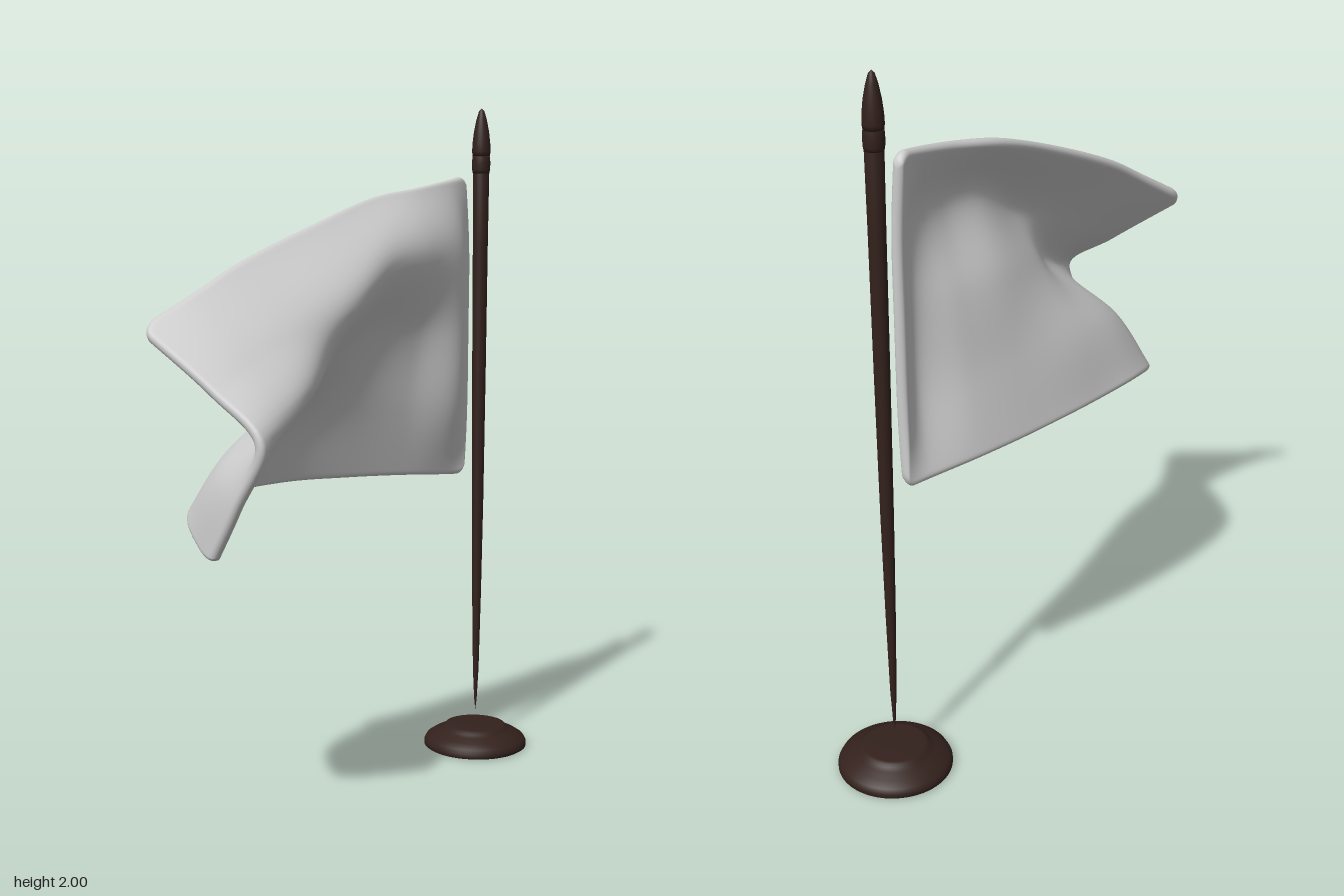
import * as THREE from 'three';
import { mergeVertices } from 'three/addons/utils/BufferGeometryUtils.js';

const POLE_X = 0.432, POLE_Z = -0.385;
const V = (x, y, z) => new THREE.Vector3(x, y, z);

// Cloth cross-sections from the pole to the free end, each from bottom to top
const SECTIONS = [
  [[.383, .88, -.385], [.383, 1.11, -.38], [.383, 1.34, -.38], [.383, 1.57, -.38], [.378, 1.80, -.392]],
  [[.31, .885, -.355], [.33, 1.11, -.285], [.335, 1.34, -.26], [.335, 1.59, -.25], [.30, 1.78, -.305]],
  [[.17, .895, -.295], [.18, 1.11, -.24], [.20, 1.34, -.20], [.225, 1.575, -.12], [.19, 1.755, -.205]],
  [[0, .905, -.21], [.02, 1.12, -.16], [.05, 1.34, -.10], [.095, 1.55, 0], [.06, 1.728, -.125]],
  [[-.22, .915, -.08], [-.18, 1.11, -.025], [-.095, 1.29, .09], [-.045, 1.44, .155], [-.12, 1.657, .015]],
  [[-.41, .905, .075], [-.33, 1.07, .145], [-.165, 1.225, .29], [-.20, 1.37, .26], [-.35, 1.55, .16]],
  [[-.485, .865, .205], [-.405, 1.005, .31], [-.25, 1.155, .42], [-.335, 1.30, .345], [-.47, 1.475, .228]],
  [[-.435, .765, .38], [-.375, .93, .48], [-.325, 1.105, .545], [-.435, 1.225, .43], [-.62, 1.385, .29]],
];
const rowCurves = SECTIONS[0].map((_, r) =>
  new THREE.CatmullRomCurve3(SECTIONS.map(s => V(...s[r]))));
const sectionAt = u => new THREE.CatmullRomCurve3(rowCurves.map(c => c.getPoint(u)));

// Closed cloth shell with rounded rim and rounded corners
function flagGeometry(nu = 76, nv = 56, half = 0.015, corner = 0.05) {
  const ease = t => 0.5 - 0.5 * Math.cos(Math.PI * t);
  const pos = [[], []], index = [];
  for (let i = 0; i <= nu; i++) {
    const u = ease(i / nu), e = 0.004;
    const u0 = Math.max(0, u - e), u1 = Math.min(1, u + e);
    const curve = sectionAt(u), before = sectionAt(u0), after = sectionAt(u1);
    const k = Math.max(0, corner - Math.min(u, 1 - u));
    const inset = corner - Math.sqrt(corner * corner - k * k);
    for (let j = 0; j <= nv; j++) {
      const w = ease(j / nv), v = inset + w * (1 - 2 * inset);
      const p = curve.getPoint(v);
      const du = after.getPoint(v).sub(before.getPoint(v));
      const dv = curve.getPoint(Math.min(1, v + e)).sub(curve.getPoint(Math.max(0, v - e)));
      const n = dv.cross(du).normalize();
      const d = Math.min(u * 1.2, (1 - u) * 1.2, w * 0.9, (1 - w) * 0.9, half);
      const h = Math.sqrt(Math.max(0, half * half - (half - d) ** 2));
      pos[0].push(...p.clone().addScaledVector(n, h).toArray());
      pos[1].push(...p.clone().addScaledVector(n, -h).toArray());
    }
  }
  const row = nv + 1, side = (nu + 1) * row;
  for (let i = 0; i < nu; i++) for (let j = 0; j < nv; j++) {
    const a = i * row + j, b = a + row, c = b + 1, d = a + 1;
    index.push(a, d, b, d, c, b);
    index.push(...[a, b, d, d, b, c].map(q => q + side));
  }
  const g = new THREE.BufferGeometry();
  g.setAttribute('position', new THREE.Float32BufferAttribute(pos[0].concat(pos[1]), 3));
  g.setIndex(index);
  const merged = mergeVertices(g, 1e-5);
  merged.computeVertexNormals();
  return merged;
}

const lathe = (profile, n) =>
  new THREE.LatheGeometry(profile.map(p => new THREE.Vector2(...p)), n);

export function createModel() {
  const model = new THREE.Group();
  const cloth = new THREE.MeshStandardMaterial({ color: 0xcccccc, side: THREE.DoubleSide });
  const wood = new THREE.MeshStandardMaterial({ color: 0x33211c });
  const add = (name, geometry, material) => {
    const m = new THREE.Mesh(geometry, material);
    m.name = name;
    model.add(m);
    return m;
  };

  add('flag', flagGeometry(), cloth);

  const parts = [
    // Pole tapering down to a point
    add('pole', lathe([[0, .115], [.004, .15], [.009, .25], [.014, .5], [.018, .8],
      [.021, 1.2], [.023, 1.6], [.025, 1.82], [0, 1.82]], 24), wood),
    // Collar under the finial
    add('collar', lathe([[0, 1.805], [.025, 1.805], [.027, 1.815], [.028, 1.835],
      [.027, 1.852], [.025, 1.86], [0, 1.86]], 24), wood),
    // Pointed finial
    add('finial', lathe([[0, 1.855], [.026, 1.857], [.028, 1.87], [.027, 1.895], [.023, 1.93],
      [.016, 1.965], [.008, 1.992], [0, 2]], 24), wood),
    // Stepped round base, hollow underneath
    add('base', lathe([[0, .05], [.075, .048], [.095, .035], [.15, .004], [.156, 0], [.162, .004],
      [.162, .016], [.155, .029], [.135, .042], [.112, .053], [.1, .06], [.095, .067],
      [.085, .07], [0, .07]], 64), wood),
  ];
  for (const m of parts) m.position.set(POLE_X, 0, POLE_Z);
  return model;
}
